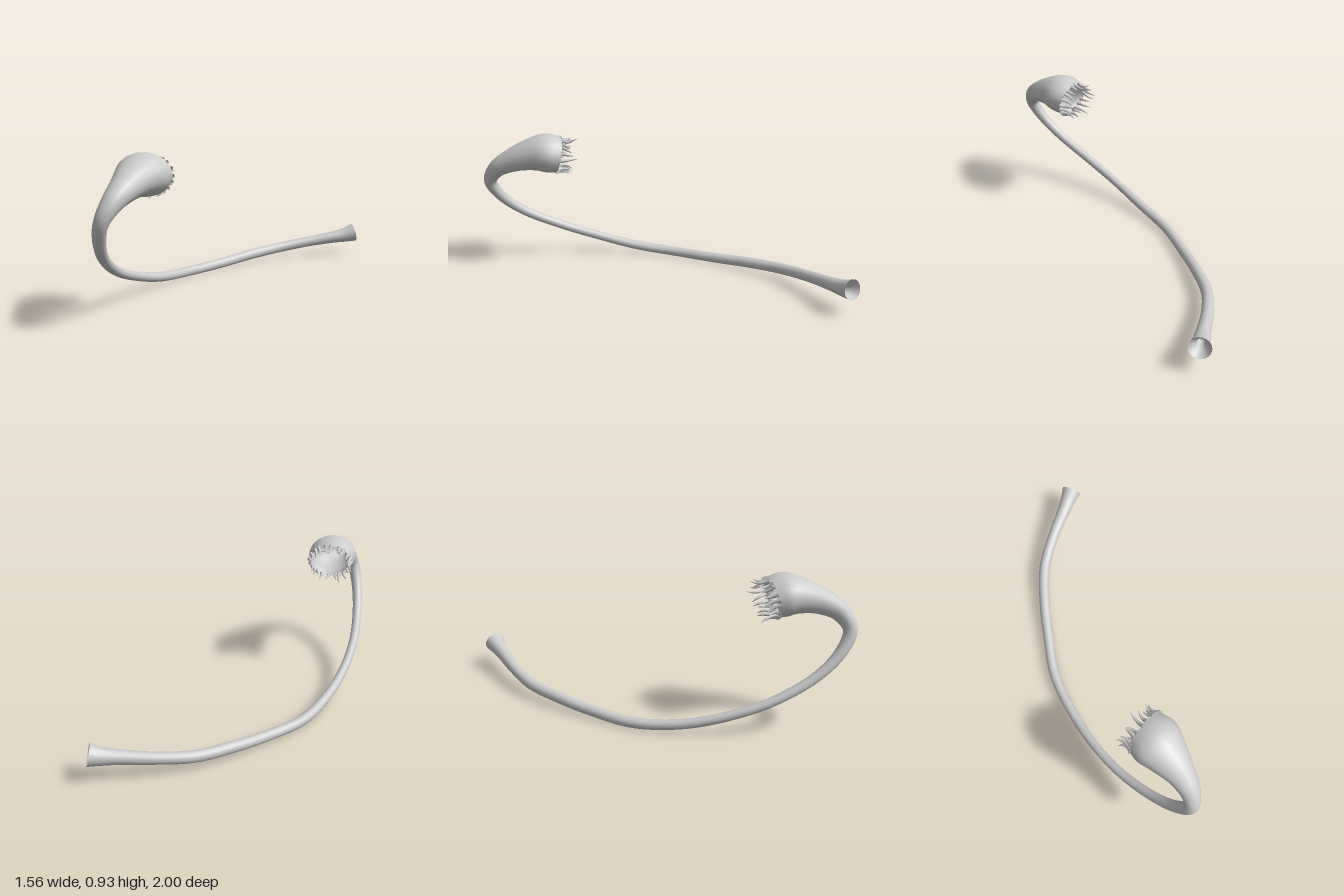
import * as THREE from 'three';

const material = new THREE.MeshStandardMaterial({ color: 0xcccccc, side: THREE.DoubleSide });

// Sweeps a round section along rows of [x, y, z, radius, sideways stretch]
function sweep(name, rows, segments, sides) {
  const path = new THREE.CatmullRomCurve3(rows.map(r => new THREE.Vector3(r[0], r[1], r[2])));
  const size = new THREE.CatmullRomCurve3(rows.map((r, i) => new THREE.Vector3(r[3], r[4] ?? 1, i * 0.1)));
  const positions = [], index = [];
  const n = new THREE.Vector3(0.13, 1, 0.21);
  for (let i = 0; i <= segments; i++) {
    const t = i / segments;
    const p = path.getPoint(t), s = size.getPoint(t), dir = path.getTangent(t);
    n.addScaledVector(dir, -n.dot(dir)).normalize();
    const b = new THREE.Vector3().crossVectors(dir, n);
    for (let j = 0; j < sides; j++) {
      const a = (j / sides) * Math.PI * 2;
      const o = n.clone().multiplyScalar(Math.cos(a)).addScaledVector(b, Math.sin(a)).multiplyScalar(s.x);
      positions.push(p.x + o.x * s.y, p.y + o.y, p.z + o.z);
      if (i < segments) {
        const k = i * sides + j, m = i * sides + (j + 1) % sides;
        index.push(k, m, k + sides, m, m + sides, k + sides);
      }
    }
  }
  const g = new THREE.BufferGeometry();
  g.setAttribute('position', new THREE.Float32BufferAttribute(positions, 3));
  g.setIndex(index);
  g.computeVertexNormals();
  const mesh = new THREE.Mesh(g, material);
  mesh.name = name;
  return mesh;
}

function seeded(seed) {
  return () => (seed = (seed * 16807) % 2147483647) / 2147483647;
}

export function createModel() {
  const group = new THREE.Group();
  group.name = 'pitcherVine';

  // Stem from its flared end, around the bend and into the bulb
  const stem = [
    [0.762, 0.17, -0.938, 0.065], [0.7, 0.155, -0.922, 0.053], [0.6, 0.14, -0.898, 0.043],
    [0.42, 0.115, -0.855, 0.037], [0.2, 0.085, -0.775, 0.036], [0, 0.065, -0.635, 0.035],
    [-0.2, 0.043, -0.46, 0.033], [-0.4, 0.036, -0.26, 0.032], [-0.55, 0.066, 0, 0.031],
    [-0.655, 0.135, 0.25, 0.029], [-0.72, 0.228, 0.5, 0.029], [-0.742, 0.36, 0.75, 0.031],
    [-0.732, 0.49, 0.895, 0.036], [-0.703, 0.61, 0.957, 0.043], [-0.652, 0.705, 0.91, 0.058, 1.05],
    [-0.605, 0.765, 0.81, 0.078, 1.14], [-0.57, 0.799, 0.7, 0.103, 1.24], [-0.545, 0.808, 0.61, 0.124, 1.25],
    [-0.53, 0.79, 0.525, 0.116, 1.22]
  ];
  group.add(sweep('stemAndBulb', stem, 90, 18));

  // Hollow inside the bulb, starting at the rim
  group.add(sweep('bulbHollow', [
    [-0.53, 0.79, 0.525, 0.116, 1.22], [-0.535, 0.797, 0.555, 0.104, 1.22],
    [-0.55, 0.803, 0.63, 0.104, 1.22], [-0.575, 0.795, 0.72, 0.075, 1.2],
    [-0.61, 0.76, 0.82, 0.04, 1.1], [-0.64, 0.72, 0.88, 0.001]
  ], 18, 18));

  // Pit in the flared stem end
  group.add(sweep('stemEndPit', [
    [0.762, 0.17, -0.938, 0.065], [0.745, 0.166, -0.934, 0.052],
    [0.7, 0.155, -0.922, 0.025], [0.66, 0.149, -0.912, 0.02], [0.655, 0.148, -0.911, 0.001]
  ], 12, 18));

  // Curling tapered teeth around the rim
  const teeth = new THREE.Group();
  teeth.name = 'teeth';
  const random = seeded(29);
  const centre = new THREE.Vector3(-0.53, 0.79, 0.525);
  const axis = new THREE.Vector3(0.08, -0.2, -0.97).normalize();
  const side = new THREE.Vector3(1, 0, 0.08).normalize();
  const up = new THREE.Vector3().crossVectors(side, axis).normalize();
  const count = 20;
  for (let i = 0; i < count; i++) {
    const a = ((i + 0.5 * random()) / count) * Math.PI * 2;
    const out = side.clone().multiplyScalar(Math.cos(a) * 1.22).addScaledVector(up, Math.sin(a));
    const around = side.clone().multiplyScalar(-Math.sin(a)).addScaledVector(up, Math.cos(a));
    const length = 0.06 + 0.045 * random();
    const twist = (random() - 0.5) * 0.05;
    const flare = (random() - 0.55) * 0.035;
    const rows = [[-0.12, 0.013], [0.25, 0.01], [0.65, 0.007], [1, 0.001]].map(([t, r]) => {
      const p = centre.clone().addScaledVector(out, 0.112 + flare * t * t - 0.012 * Math.sin(t * Math.PI))
        .addScaledVector(axis, length * t)
        .addScaledVector(around, twist * t * t);
      return [p.x, p.y, p.z, r];
    });
    teeth.add(sweep('tooth', rows, 8, 6));
  }
  group.add(teeth);
  return group;
}
